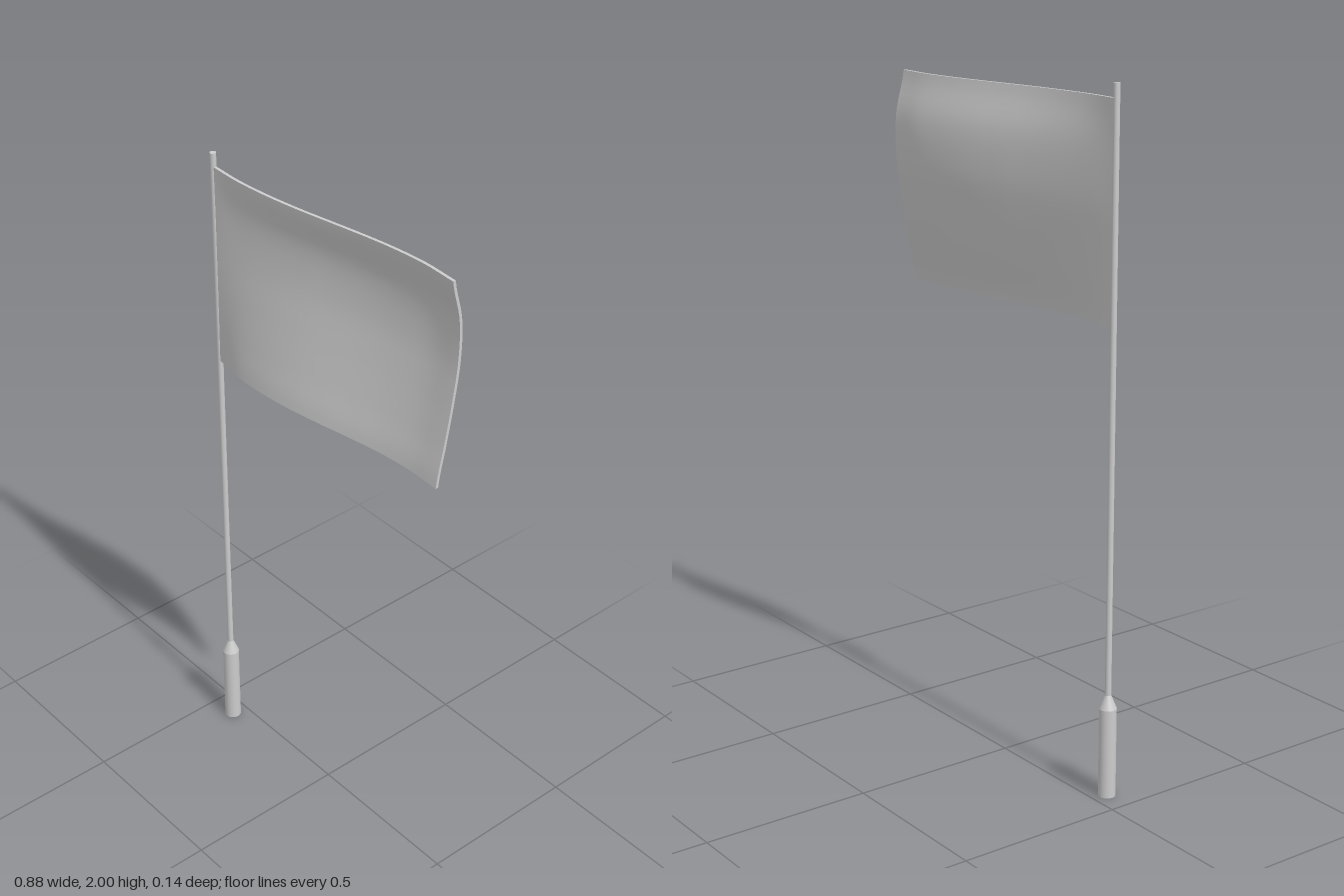
import * as THREE from 'three';

const POLE_X = -0.418, POLE_Z = 0.047;

// Smooth interpolation through evenly spaced values, u from 0 to 1
function ramp(values) {
  const curve = new THREE.SplineCurve(values.map((v, i) => new THREE.Vector2(i, v)));
  return u => curve.getPoint(THREE.MathUtils.clamp(u, 0, 1)).y;
}

export function createModel() {
  const group = new THREE.Group();
  const material = new THREE.MeshStandardMaterial({ color: 0xcccccc });
  const add = (name, geometry) => {
    const mesh = new THREE.Mesh(geometry, material);
    mesh.name = name;
    group.add(mesh);
    return mesh;
  };

  // Slim pole
  const pole = add('pole', new THREE.CylinderGeometry(0.009, 0.009, 1.72, 24));
  pole.position.set(POLE_X, 1.14, POLE_Z);

  // Handle: cylinder with a conical shoulder
  const handleParts = [
    ['handleGrip', 0.025, 0.025, 0, 0.265],
    ['handleShoulder', 0.009, 0.025, 0.265, 0.305],
  ];
  for (const [name, top, bottom, y0, y1] of handleParts) {
    const part = add(name, new THREE.CylinderGeometry(top, bottom, y1 - y0, 32));
    part.position.set(POLE_X, (y0 + y1) / 2, POLE_Z);
  }

  // Waving cloth: a thin slab bent by its lower-edge line, its deepest line and a billow profile
  const left = POLE_X, right = 0.437, low = 1.35, high = 1.96, thickness = 0.009;
  const lowerEdge = ramp([0.047, 0.063, 0.064, 0.055, 0.039, 0.02, 0.004, -0.003, 0.001]);
  const deepest = ramp([0.047, 0.036, 0.02, 0, -0.023, -0.044, -0.06, -0.069, -0.064]);
  const billow = ramp([0, 0.36, 0.7, 0.95, 0.93, 0.5]);
  const cloth = new THREE.BoxGeometry(1, 1, thickness, 48, 28, 1);
  const p = cloth.attributes.position;
  for (let i = 0; i < p.count; i++) {
    const u = p.getX(i) + 0.5, v = p.getY(i) + 0.5;
    const z = THREE.MathUtils.lerp(lowerEdge(u), deepest(u), billow(v));
    p.setXYZ(i, left + u * (right - left), low + v * (high - low), z + p.getZ(i));
  }
  cloth.computeVertexNormals();
  add('flagCloth', cloth);

  return group;
}
